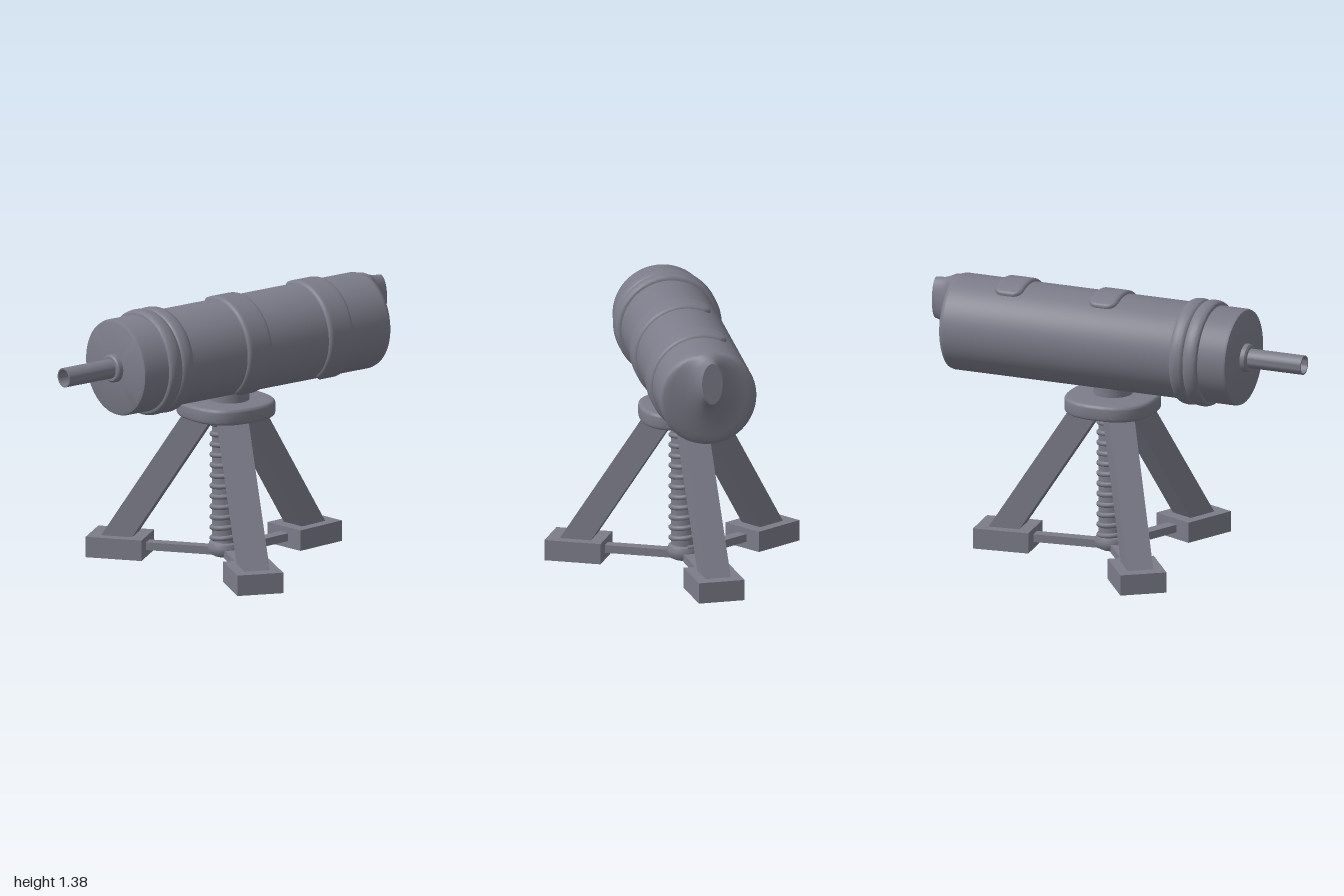
import * as THREE from 'three';
import { toCreasedNormals, mergeVertices } from 'three/addons/utils/BufferGeometryUtils.js';

const AXIS_Y = 1.108, AXIS_Z = -0.012; // barrel axis
const STAND_X = 0.034, STAND_Z = -0.025; // tripod axis
const TAU = Math.PI * 2;

export function createModel() {
  const model = new THREE.Group();
  const metal = new THREE.MeshStandardMaterial({ color: 0x7c7c8a });
  metal.name = 'slate grey metal';

  const add = (parent, name, geometry, x = 0, y = 0, z = 0) => {
    const mesh = new THREE.Mesh(geometry, metal);
    mesh.name = name;
    mesh.position.set(x, y, z);
    parent.add(mesh);
    return mesh;
  };
  const lathe = (profile, segments = 64) => toCreasedNormals(
    new THREE.LatheGeometry(profile.map(([r, y]) => new THREE.Vector2(r, y)), segments), 0.6);
  const alongX = (name, profile, segments) =>
    add(model, name, lathe(profile, segments).rotateZ(-Math.PI / 2), 0, AXIS_Y, AXIS_Z);

  // Surface patch swept over u and v
  const patch = (nu, nv, point) => {
    const pos = [], index = [];
    for (let j = 0; j <= nv; j++) {
      for (let i = 0; i <= nu; i++) pos.push(...point(i / nu, j / nv));
    }
    for (let j = 0; j < nv; j++) {
      for (let i = 0; i < nu; i++) {
        const a = j * (nu + 1) + i, b = a + 1, c = a + nu + 1, d = c + 1;
        index.push(a, b, c, b, d, c);
      }
    }
    const g = new THREE.BufferGeometry();
    g.setAttribute('position', new THREE.Float32BufferAttribute(pos, 3));
    g.setIndex(index);
    const welded = mergeVertices(g, 1e-5);
    welded.computeVertexNormals();
    return welded;
  };

  // Barrel with its closed left end
  alongX('barrel', [[0, -0.68], [0.228, -0.677], [0.239, -0.672], [0.243, -0.66], [0.243, 0.862]], 96);

  // Spout blending from the round barrel into an upright oval: x, centre y, half height, half depth
  const sections = [
    [0.86, 1.108, 0.243, 0.243], [0.875, 1.108, 0.239, 0.239], [0.884, 1.114, 0.229, 0.226],
    [0.89, 1.13, 0.215, 0.19], [0.9, 1.165, 0.18, 0.135], [0.92, 1.195, 0.14, 0.085],
    [0.95, 1.21, 0.115, 0.062], [1, 1.215, 0.106, 0.052],
  ];
  add(model, 'spout', patch(64, sections.length - 1, (u, v) => {
    const [x, cy, ry, rz] = sections[Math.round(v * (sections.length - 1))];
    return [x, cy + ry * Math.cos(u * TAU), AXIS_Z + rz * Math.sin(u * TAU)];
  }));
  const spoutEnd = new THREE.CircleGeometry(1, 64).scale(0.052, 0.106, 1).rotateY(Math.PI / 2);
  add(model, 'spoutEnd', spoutEnd, 1, 1.215, AXIS_Z);

  // Double ring near the left end
  for (const x of [-0.486, -0.412]) {
    const profile = [];
    for (let i = 0; i <= 14; i++) {
      const a = (i / 14) * Math.PI;
      profile.push([0.236 + 0.031 * Math.sqrt(Math.sin(a)), x - 0.039 * Math.cos(a)]);
    }
    alongX('endRing', profile, 96);
  }

  // Rounded straps wrapping the front of the barrel
  const start = -0.58, end = 2.67, halfWidth = 0.077, corner = 0.05;
  const round = (d, r) => (d >= r ? 1 : Math.sqrt(Math.max(0, 1 - (1 - d / r) ** 2)));
  for (const x of [0.048, 0.56]) {
    add(model, 'strap', patch(90, 20, (u, v) => {
      const a = start + (end - start) * (1 - Math.cos(u * Math.PI)) / 2;
      const t = Math.sin((v - 0.5) * Math.PI);
      const d = Math.min(a - start, end - a) * 0.25;
      const w = halfWidth - corner + corner * round(d, corner);
      const r = 0.237 + 0.022 * round(d, 0.02) * round((1 - Math.abs(t)) * w, 0.02);
      return [x + t * w, AXIS_Y + r * Math.cos(a), AXIS_Z + r * Math.sin(a)];
    }));
  }

  // Hollow pipe and collar at the left end
  alongX('pipe', [[0, -0.72], [0.042, -0.72], [0.042, -1], [0.049, -1], [0.049, -0.67]], 32);
  alongX('pipeCollar', [[0.045, -0.71], [0.062, -0.709], [0.07, -0.702], [0.071, -0.69], [0.071, -0.67]], 32);

  // Neck and softly squared mounting plate
  add(model, 'neck', new THREE.CylinderGeometry(0.098, 0.098, 0.09, 40), STAND_X + 0.008, 0.865, -0.005);
  const outline = [];
  for (let i = 0; i < 64; i++) {
    const a = (i / 64) * TAU, c = Math.cos(a), s = Math.sin(a);
    const r = 0.21 / (Math.abs(c) ** 2.6 + Math.abs(s) ** 2.6) ** (1 / 2.6);
    outline.push(new THREE.Vector2(r * c, r * s));
  }
  const plate = new THREE.ExtrudeGeometry(new THREE.Shape(outline), {
    depth: 0.046, bevelThickness: 0.018, bevelSize: 0.019, bevelSegments: 4,
  });
  plate.rotateX(-Math.PI / 2);
  add(model, 'mountingPlate', toCreasedNormals(plate, 0.6), STAND_X, 0.772, STAND_Z);

  // Three slanted legs, each with a block foot and a strut to the hub
  const legShape = new THREE.Shape([[0.47, 0.1], [0.63, 0.1], [0.2, 0.765], [0.04, 0.765]]
    .map(([x, y]) => new THREE.Vector2(x, y)));
  for (let k = 0; k < 3; k++) {
    const leg = new THREE.Group();
    leg.name = 'tripodLeg';
    leg.position.set(STAND_X, 0, STAND_Z);
    leg.rotation.y = THREE.MathUtils.degToRad(6.4 + 120 * k);
    model.add(leg);
    add(leg, 'legBeam', new THREE.ExtrudeGeometry(legShape, { depth: 0.13, bevelEnabled: false }), 0, 0, -0.065);
    add(leg, 'foot', new THREE.BoxGeometry(0.288, 0.105, 0.235), 0.548, 0.0525, 0);
    add(leg, 'strut', new THREE.BoxGeometry(0.4, 0.04, 0.06), 0.23, 0.055, 0);
  }

  // Central screw with its helical thread, and the hub below
  add(model, 'screwCore', new THREE.CylinderGeometry(0.07, 0.07, 0.68, 32), STAND_X, 0.42, STAND_Z);
  const turns = 12, path = [];
  for (let i = 0; i <= turns * 16; i++) {
    const a = (i / 16) * TAU;
    path.push(new THREE.Vector3(0.07 * Math.cos(a), 0.1 + 0.64 * i / (turns * 16), -0.07 * Math.sin(a)));
  }
  add(model, 'screwThread', new THREE.TubeGeometry(new THREE.CatmullRomCurve3(path), turns * 24, 0.013, 8),
    STAND_X, 0, STAND_Z);
  add(model, 'hub', lathe([[0, 0.03], [0.06, 0.032], [0.08, 0.042], [0.09, 0.06], [0.09, 0.08],
    [0.082, 0.1], [0.066, 0.11], [0, 0.11]], 40), STAND_X, 0, STAND_Z);

  return model;
}
